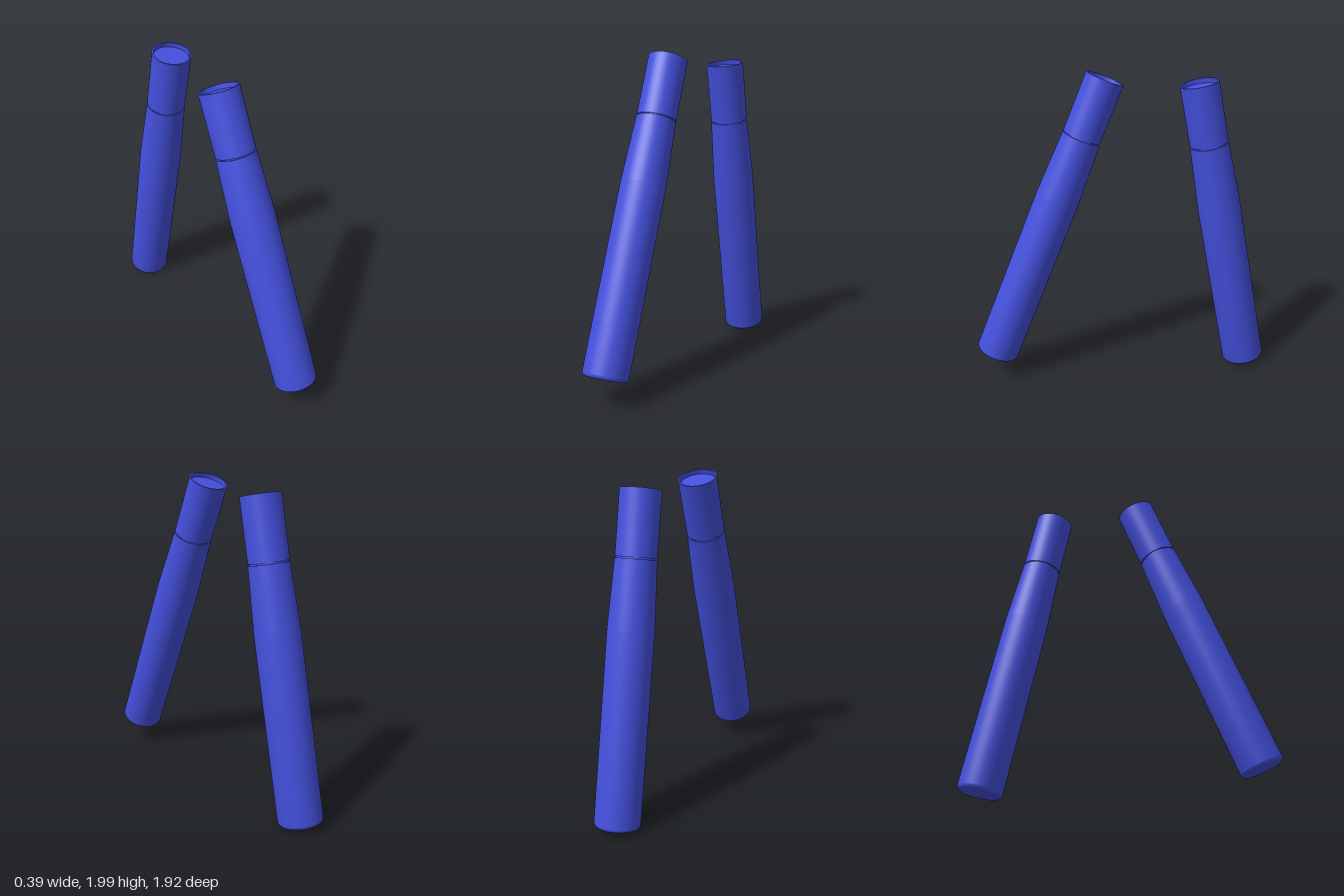
import * as THREE from 'three';
import { toCreasedNormals } from 'three/addons/utils/BufferGeometryUtils.js';

const LENGTH = 1.933; // along the axis of one tube
const R_BODY = 0.1365, R_SHOULDER = 0.121, R_CAP = 0.12, R_NECK = 0.113;
const SEAM = 1.545, TAPER_START = 1.14, FILLET = 0.025;

const material = new THREE.MeshStandardMaterial({ color: 0x4450dd });

function turned(name, profile) {
  const points = profile.map(([r, y]) => new THREE.Vector2(r, y));
  const geometry = toCreasedNormals(new THREE.LatheGeometry(points, 64), 0.5);
  const mesh = new THREE.Mesh(geometry, material);
  mesh.name = name;
  return mesh;
}

function createTube(name, x, y, z, tilt) {
  const tube = new THREE.Group();
  tube.name = name;

  // Closed base with a rounded rim, straight barrel, tapering shoulder, neck
  const body = [[0, 0]];
  for (let i = 0; i <= 6; i++) {
    const a = (i / 6) * Math.PI / 2;
    body.push([R_BODY - FILLET + FILLET * Math.sin(a), FILLET * (1 - Math.cos(a))]);
  }
  body.push([R_BODY, TAPER_START], [R_SHOULDER, SEAM], [R_NECK, SEAM], [R_NECK, SEAM + 0.008]);
  tube.add(turned('body', body));

  // Upper sleeve with a thin rim around a shallow recess
  tube.add(turned('sleeve', [
    [R_NECK, SEAM + 0.008], [R_CAP, SEAM + 0.008], [R_CAP, LENGTH],
    [R_CAP - 0.01, LENGTH], [R_CAP - 0.01, LENGTH - 0.03], [0, LENGTH - 0.03],
  ]));

  tube.position.set(x, y, z);
  tube.rotation.x = THREE.MathUtils.degToRad(tilt);
  return tube;
}

export function createModel() {
  const model = new THREE.Group();
  model.name = 'tubePair';
  // The two tubes lean towards each other
  model.add(createTube('frontTube', -0.058, 0.168, 0.839, -22.5));
  model.add(createTube('backTube', 0.058, 0.03, -0.83, 11.2));
  return model;
}
